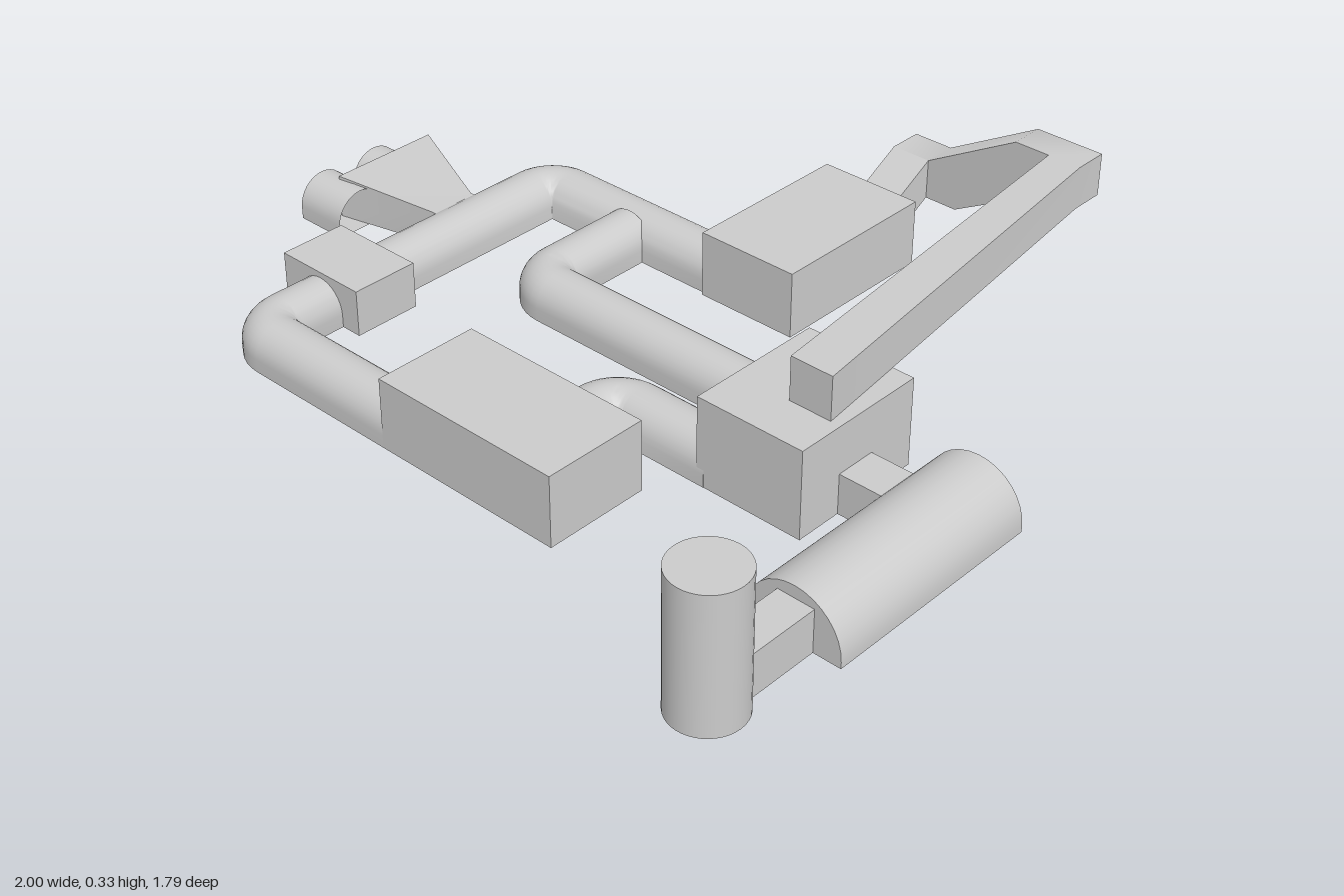
import * as THREE from 'three';
import { toCreasedNormals } from 'three/addons/utils/BufferGeometryUtils.js';

const BASE = 0.007;

// Skin a list of rings (each counter-clockwise when looking along the path)
function loft(rings, capped = true) {
  const pos = [];
  const tri = (...pts) => pts.forEach((p) => pos.push(...p));
  for (let i = 0; i < rings.length - 1; i++) {
    const a = rings[i], b = rings[i + 1], n = a.length;
    for (let j = 0; j < n; j++) {
      const k = (j + 1) % n;
      tri(a[j], b[j], b[k]);
      tri(a[j], b[k], a[k]);
    }
  }
  if (capped) {
    const a = rings[0], b = rings[rings.length - 1];
    for (let j = 1; j < a.length - 1; j++) {
      tri(a[0], a[j], a[j + 1]);
      tri(b[0], b[j + 1], b[j]);
    }
  }
  const geo = new THREE.BufferGeometry();
  geo.setAttribute('position', new THREE.Float32BufferAttribute(pos, 3));
  return toCreasedNormals(geo, 0.6);
}

// Arch section: flat floor, straight sides, half-round top
function archSection(width, height, steps = 16) {
  const r = width / 2, pts = [[r, 0]];
  for (let i = 0; i <= steps; i++) {
    const t = (Math.PI * i) / steps;
    pts.push([r * Math.cos(t), height - r + r * Math.sin(t)]);
  }
  pts.push([-r, 0]);
  return pts;
}

// Sweep an arch along a floor path of [x, z] corners, rounding every corner
function archPipe(corners, width = 0.138, height = 0.101, capped = true) {
  const r = width / 2 + 0.002, stations = [];
  const heading = (a, b) => {
    const l = Math.hypot(b[0] - a[0], b[1] - a[1]);
    return [(b[0] - a[0]) / l, (b[1] - a[1]) / l];
  };
  const last = corners.length - 1;
  stations.push([corners[0], heading(corners[0], corners[1])]);
  for (let i = 1; i < last; i++) {
    const c = corners[i], u = heading(corners[i - 1], c), v = heading(c, corners[i + 1]);
    for (let s = 0; s <= 10; s++) {
      const t = (Math.PI / 2) * (s / 10), sn = Math.sin(t), cs = Math.cos(t);
      const at = [0, 1].map((k) => c[k] - r * u[k] * (1 - sn) + r * v[k] * (1 - cs));
      stations.push([at, [u[0] * cs + v[0] * sn, u[1] * cs + v[1] * sn]]);
    }
  }
  stations.push([corners[last], heading(corners[last - 1], corners[last])]);
  const section = archSection(width, height);
  return loft(stations.map(([p, d]) =>
    section.map(([s, y]) => [p[0] - d[1] * s, BASE + y, p[1] + d[0] * s])), capped);
}

export function createModel() {
  const model = new THREE.Group();
  const grey = new THREE.MeshStandardMaterial({ color: 0xcccccc });
  const greyOpen = new THREE.MeshStandardMaterial({ color: 0xcccccc, side: THREE.DoubleSide });

  const add = (name, geo, material = grey) => {
    const mesh = new THREE.Mesh(geo, material);
    mesh.name = name;
    model.add(mesh);
    return mesh;
  };
  const box = (name, x0, x1, z0, z1, top) =>
    add(name, new THREE.BoxGeometry(x1 - x0, top - BASE, z1 - z0))
      .position.set((x0 + x1) / 2, (top + BASE) / 2, (z0 + z1) / 2);

  // Housings
  box('backHousing', -0.06, 0.205, -0.66, -0.22, 0.172);
  box('frontHousing', -0.14, 0.355, 0.42, 0.68, 0.18);
  box('mainHousing', 0.42, 0.695, -0.02, 0.328, 0.222);
  box('pipeCollar', -0.75, -0.502, 0.262, 0.432, 0.122);
  box('tankConnector', 0.69, 0.82, 0.108, 0.21, 0.105);
  box('postConnector', 0.842, 0.932, 0.56, 0.78, 0.11);

  // Arched pipes
  add('outerPipe', archPipe([[-0.03, -0.298], [-0.625, -0.298], [-0.625, 0.611], [-0.12, 0.611]]));
  add('innerPipe', archPipe([[-0.327, -0.26], [-0.327, 0.048], [0.44, 0.048]]));
  add('shortPipe', archPipe([[0.13, 0.44], [0.13, 0.26], [0.44, 0.26]]));
  add('tank', archPipe([[0.883, 0.57], [0.883, 0.007]], 0.233, 0.132));

  // Upright post
  add('post', new THREE.CylinderGeometry(0.083, 0.083, 0.325, 40)).position.set(0.884, 0.1625, 0.81);

  // Open twin inlets and the funnel joining them to the outer pipe
  for (const z of [-0.055, 0.11]) {
    add('inletPipe', archPipe([[-1, z], [-0.86, z]], 0.138, 0.101, false), greyOpen);
  }
  const funnelRing = (x, z0, z1, top) => [[x, BASE, z1], [x, top, z1], [x, top, z0], [x, BASE, z0]];
  add('inletFunnel', loft([
    funnelRing(-0.94, -0.182, 0.107, 0.116),
    funnelRing(-0.677, -0.078, 0.047, 0.095),
    funnelRing(-0.63, -0.078, 0.047, 0.095),
  ]));

  // Raised square duct: r and l are the [x, z] of its right and left walls
  const ductRing = (r, l, y0, y1, shift = 0) => [
    [r[0] + shift, y0, r[1]], [r[0], y1, r[1]], [l[0], y1, l[1]], [l[0] + shift, y0, l[1]],
  ];
  const back = -0.897, inner = -0.81;
  add('raisedDuct', loft([
    ductRing([0.67, 0.213], [0.563, 0.213], 0.222, 0.328),
    ductRing([0.54, inner], [0.455, inner], 0.222, 0.328),
    ductRing([0.54, back], [0.455, inner], 0.222, 0.328),
    ductRing([0.365, back], [0.365, inner], 0.222, 0.328, 0.085),
    ductRing([0.125, back], [0.125, inner], 0.09, 0.19, 0.085),
    ductRing([0.022, back], [0.125, inner], 0.09, 0.19),
    ductRing([0.022, inner], [0.125, inner], 0.09, 0.19),
    ductRing([0.022, -0.655], [0.125, -0.655], BASE, 0.107),
  ]));

  return model;
}
